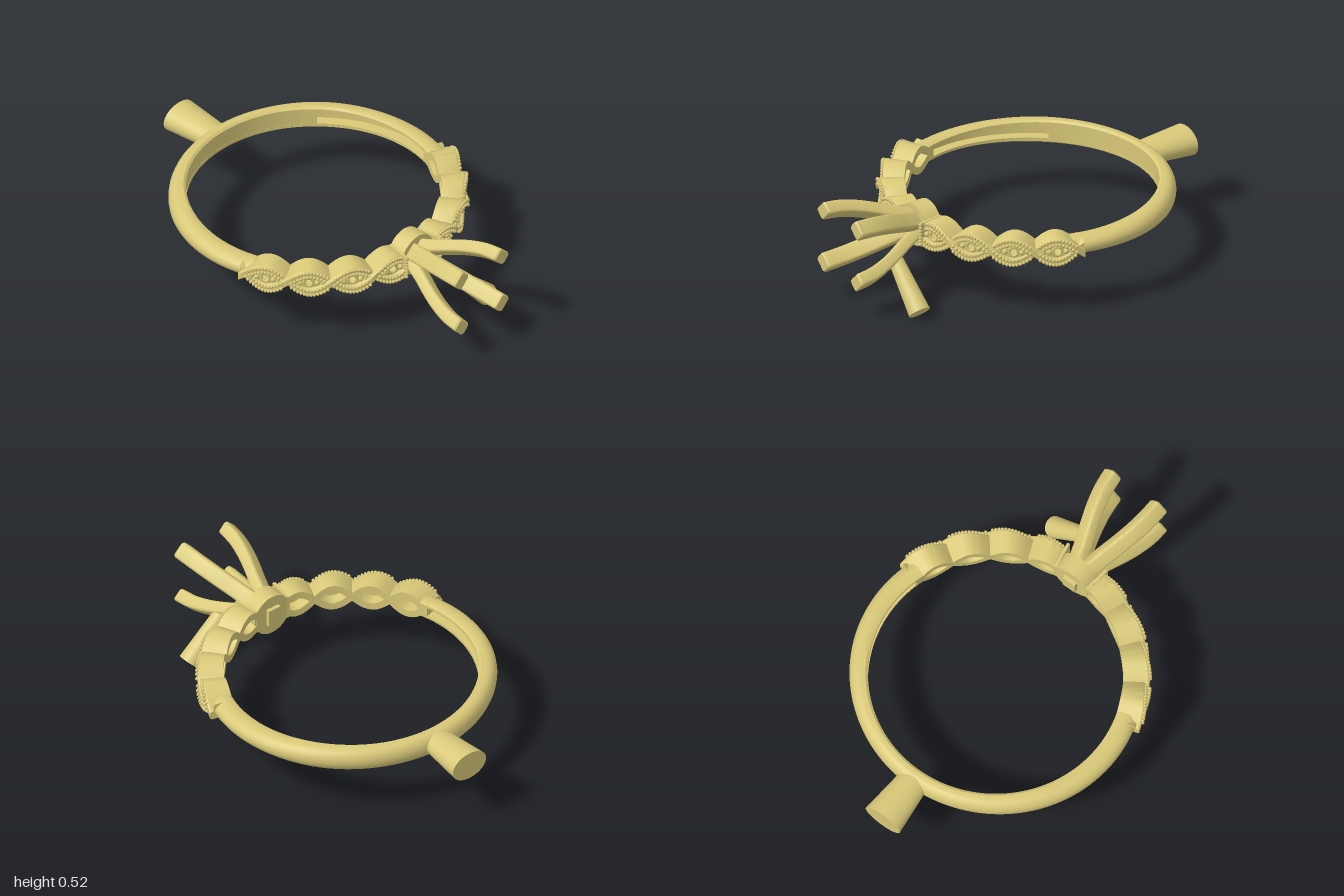
import * as THREE from 'three';
import { mergeGeometries, toCreasedNormals } from 'three/addons/utils/BufferGeometryUtils.js';

const CY = 0.34, CZ = -0.11, RAD = Math.PI / 180;
const EYES = [13.5, 30.5, 47.5, 64.5], STEP = 17;

// Point on the ring: radius, angle in degrees from the front, height above the mid-plane
const onRing = (r, deg, y) =>
  new THREE.Vector3(r * Math.sin(deg * RAD), CY + y, CZ + r * Math.cos(deg * RAD));

// Capped solid through a list of equal-sized cross-sections, wound outwards
function loft(rings, crease = 0.6) {
  const n = rings[0].length, pts = rings.flat(), tris = [];
  for (let i = 0; i < rings.length - 1; i++)
    for (let j = 0; j < n; j++) {
      const a = i * n + j, b = i * n + (j + 1) % n;
      tris.push([a, b, b + n], [a, b + n, a + n]);
    }
  const last = (rings.length - 1) * n;
  const cap = THREE.ShapeUtils.triangulateShape(flatten(rings[0]), []);
  const capEnd = THREE.ShapeUtils.triangulateShape(flatten(rings[rings.length - 1]), []);
  const orient = (t, ring, fwd) => {
    // make cap triangles follow the loop direction, then face away from the solid
    const up = [...t].sort((p, q) => p - q);
    return fwd ? up : [up[0], up[2], up[1]];
  };
  cap.forEach(t => tris.push(orient(t, rings[0], false)));
  capEnd.forEach(t => tris.push(orient(t, rings[0], true).map(k => k + last)));
  let vol = 0;
  const c = new THREE.Vector3();
  for (const [a, b, d] of tris) vol += pts[a].dot(c.crossVectors(pts[b], pts[d]));
  const g = new THREE.BufferGeometry().setFromPoints(pts);
  g.setIndex(tris.flatMap(([a, b, d]) => (vol < 0 ? [a, d, b] : [a, b, d])));
  return toCreasedNormals(g, crease);
}

// Flat 2D copy of a planar cross-section
function flatten(ring) {
  const normal = new THREE.Vector3(), c = new THREE.Vector3();
  ring.forEach((p, i) => normal.add(c.crossVectors(p, ring[(i + 1) % ring.length])));
  normal.normalize();
  const u = new THREE.Vector3().subVectors(ring[1], ring[0]).normalize();
  const v = new THREE.Vector3().crossVectors(normal, u);
  return ring.map(p => new THREE.Vector2(p.dot(u), p.dot(v)));
}

export function createModel() {
  const group = new THREE.Group();
  const gold = new THREE.MeshStandardMaterial({ color: 0xd8c878 });
  const add = (name, geometry, parent = group) => {
    const m = new THREE.Mesh(geometry, gold);
    m.name = name;
    parent.add(m);
    return m;
  };

  // Plain band round the back, hollowed on the inside near both ends
  const bandRings = [];
  const angles = [];
  for (let a = 71; a <= 289; a += 2) angles.push(a);
  angles.push(133.05, 226.95);
  angles.sort((a, b) => a - b);
  for (const a of angles) {
    const back = 180 - Math.abs(a - 180);
    const t = THREE.MathUtils.smoothstep(back, 71, 140);
    const h = 0.043 + 0.016 * t, depth = 0.1 - 0.025 * THREE.MathUtils.smoothstep(back, 80, 170);
    const groove = back <= 133.01 ? 0.05 : 0.001;
    const sec = [[groove, -0.55 * h], [0, -0.55 * h], [0, -0.85 * h], [0.012, -h]];
    for (let k = 0; k <= 10; k++) {
      const p = (-90 + k * 18) * RAD;
      sec.push([depth * (0.4 + 0.6 * Math.cos(p)), h * Math.sin(p)]);
    }
    sec.push([0.012, h], [0, 0.85 * h], [0, 0.55 * h], [groove, 0.55 * h]);
    bandRings.push(sec.map(([r, y]) => onRing(0.6 + r, a, y)));
  }
  add('band', loft(bandRings));

  // Woven shoulders on both sides
  const phase = a => Math.PI * (a - EYES[0]) / STEP;
  const strandY = (a, s) => 0.051 * s * Math.cos(phase(a));
  const strandR = (a, s) => 0.715 + 0.01 * s * Math.sin(phase(a));
  const halfWidth = a => 0.018 * Math.hypot(1, 0.8 * Math.sin(phase(a)));
  for (const side of [1, -1]) {
    const shoulder = new THREE.Group();
    shoulder.name = side > 0 ? 'leftShoulder' : 'rightShoulder';
    group.add(shoulder);
    const beads = [];
    const bead = (r, a, y, size) => {
      const p = onRing(r, a * side, y);
      beads.push(new THREE.SphereGeometry(size, 8, 5).translate(p.x, p.y, p.z));
    };

    for (const s of [1, -1]) {
      // Wavy strand
      const rings = [];
      for (let a = 8.5; a <= 75.01; a += 0.95) {
        const y = strandY(a, s), w = halfWidth(a), r = strandR(a, s);
        rings.push([[0.6, -w], [r - 0.008, -w], [r, -0.7 * w], [r, 0.7 * w], [r - 0.008, w], [0.6, w]]
          .map(([q, v]) => onRing(q, a * side, y + v)));
      }
      add('strand', loft(rings), shoulder);
      // Beaded edges of the strand
      for (let a = 9; a <= 74.5; a += 1.25) {
        if (Math.abs(Math.cos(phase(a))) < 0.2) continue;
        const w = 0.62 * halfWidth(a);
        bead(strandR(a, s) + 0.003, a, strandY(a, s) + w, 0.0085);
        bead(strandR(a, s) + 0.003, a, strandY(a, s) - w, 0.0085);
      }
    }

    // Stone seats inside the eyes
    for (const e of EYES) {
      const half = e === EYES[0] ? 0.055 : 0.085;
      const lens = new THREE.Shape();
      lens.moveTo(-half, 0);
      lens.quadraticCurveTo(0, 0.08, half, 0);
      lens.quadraticCurveTo(0, -0.08, -half, 0);
      lens.holes.push(new THREE.Path().absarc(0, 0, 0.017, 0, Math.PI * 2, true));
      const plate = new THREE.ExtrudeGeometry(lens, { depth: 0.035, bevelEnabled: false, curveSegments: 10 });
      const rim = new THREE.TorusGeometry(0.022, 0.007, 6, 18).translate(0, 0, 0.037);
      [['seatPlate', plate], ['seatRim', rim]].forEach(([name, g]) => {
        const m = add(name, g, shoulder);
        m.position.copy(onRing(0.662, e * side, 0));
        m.rotation.y = e * side * RAD;
      });
      for (const d of [-1, 1]) {
        bead(0.705, e + d * 3.3, 0, 0.014);
        if (e !== EYES[0] || d > 0) bead(0.705, e + d * 5.4, 0, 0.01);
      }
    }
    add('beading', mergeGeometries(beads), shoulder);

    // Upright end plate beside the head
    const end = add('endPlate', new THREE.BoxGeometry(0.014, 0.12, 0.13), shoulder);
    end.position.copy(onRing(0.665, 8.8 * side, 0));
    end.rotation.y = 8.8 * side * RAD;
    const endBeads = [];
    for (let k = -3; k <= 3; k++) {
      const p = onRing(0.731, 8.8 * side, k * 0.017);
      endBeads.push(new THREE.SphereGeometry(0.0085, 8, 5).translate(p.x, p.y, p.z));
    }
    add('endBeading', mergeGeometries(endBeads), shoulder);
  }

  // Head: round base with a small block on its inner face
  const base = add('headBase', new THREE.CylinderGeometry(0.105, 0.105, 0.09, 48));
  base.rotation.x = Math.PI / 2;
  base.position.set(0, CY, 0.53);
  add('headBlock', new THREE.BoxGeometry(0.07, 0.09, 0.03)).position.set(0, CY, 0.48);

  // Four prongs sweeping outwards, with rounded rectangular section
  const path = new THREE.SplineCurve([[0.56, 0.027], [0.66, 0.056], [0.74, 0.084], [0.82, 0.108],
    [0.91, 0.127], [1, 0.135]].map(p => new THREE.Vector2(...p)));
  for (const sx of [1, -1])
    for (const sy of [1, -1]) {
      const ringAt = (z, off, k) => {
        const ring = [];
        for (let i = 0; i < 4; i++)
          for (let j = 0; j < 4; j++) {
            const p = (i * 90 + j * 30) * RAD, q = (i * 90 + 45) * RAD;
            const d = k * (0.02 * Math.sign(Math.cos(q)) + 0.013 * Math.cos(p));
            const t = k * (0.029 * Math.sign(Math.sin(q)) + 0.013 * Math.sin(p));
            ring.push(new THREE.Vector3(sx * (off + (d - t) * Math.SQRT1_2),
              CY + sy * (off + (d + t) * Math.SQRT1_2), z));
          }
        return ring;
      };
      const rings = path.getPoints(24).slice(0, -1).map(p => ringAt(p.x, p.y, 1));
      rings.push(ringAt(0.992, 0.135, 1), ringAt(1, 0.135, 0.86));
      add('prong', loft(rings));
    }

  // Flared rod on the lower left prong
  const from = new THREE.Vector3(0.1, 0.24, 0.745), to = new THREE.Vector3(0.292, 0.042, 0.745);
  const rod = add('prongRod', new THREE.CylinderGeometry(0.053, 0.036, from.distanceTo(to), 32));
  rod.position.lerpVectors(from, to, 0.5);
  rod.quaternion.setFromUnitVectors(new THREE.Vector3(0, 1, 0), to.clone().sub(from).normalize());

  // Flared oval stub at the back of the band
  const stub = add('backStub', new THREE.CylinderGeometry(0.1, 0.074, 0.27, 40));
  stub.rotation.x = -Math.PI / 2;
  stub.scale.z = 0.73;
  stub.position.set(0, CY, -0.865);

  return group;
}
